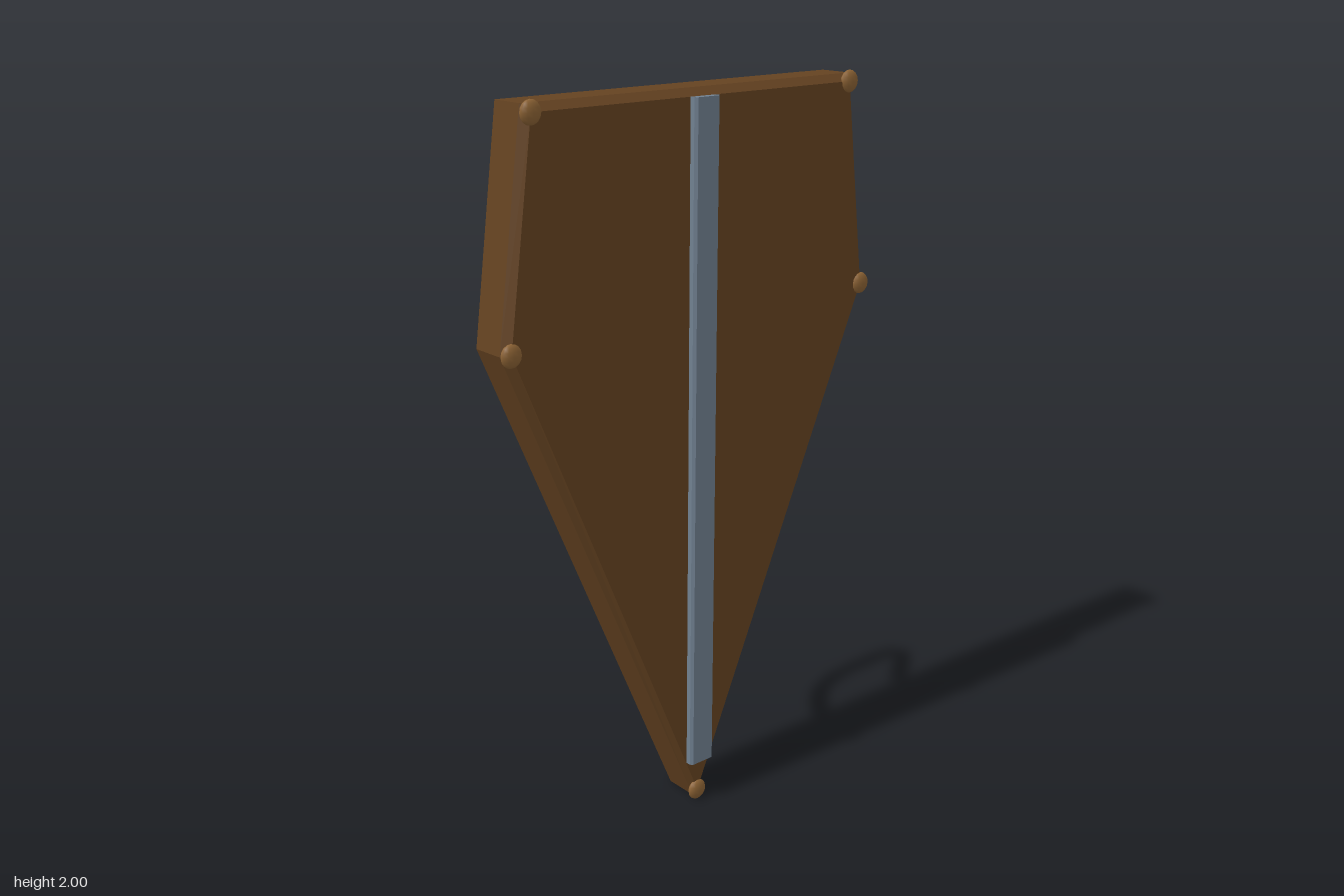
import * as THREE from 'three';

const mat = (name, color) => Object.assign(new THREE.MeshStandardMaterial({ color }), { name });

export function createModel() {
  const wood = mat('wood', 0x654321);
  const steel = mat('steel', 0x708090);
  const leather = mat('leather', 0x3e2723);
  leather.side = THREE.DoubleSide;
  const brass = mat('brass', 0x8b6234);

  const model = new THREE.Group();
  model.name = 'shield';
  const add = (name, geometry, material) => {
    const mesh = new THREE.Mesh(geometry, material);
    mesh.name = name;
    model.add(mesh);
    return mesh;
  };

  // Bevelled plank with a pointed foot
  const corners = [[0, 0.03], [0.59, 1.415], [0.517, 1.97], [-0.517, 1.97], [-0.59, 1.415]];
  const outline = new THREE.Shape(corners.map(([x, y]) => new THREE.Vector2(x, y)));
  const bevel = 0.02;
  const board = new THREE.ExtrudeGeometry(outline, {
    depth: 0.097, bevelEnabled: true, bevelSize: bevel, bevelThickness: bevel, bevelSegments: 1,
  });
  add('board', board.translate(0, 0, 0.04), wood);

  // Central metal rib with slightly chamfered front edges
  const ribSection = new THREE.Shape([
    [-0.041, 0.15], [0.041, 0.15], [0.041, 0.171], [0.034, 0.178], [-0.034, 0.178], [-0.041, 0.171],
  ].map(([x, z]) => new THREE.Vector2(x, -z)).reverse());
  const rib = new THREE.ExtrudeGeometry(ribSection, { depth: 1.84, bevelEnabled: false });
  add('centreRib', rib.rotateX(-Math.PI / 2).translate(0, 0.13, 0), steel);

  // Flattened rivet on every corner
  const rivet = new THREE.SphereGeometry(0.03, 12, 8).scale(1, 1, 0.45);
  corners.forEach(([x, y]) => add('rivet', rivet, brass).position.set(x, y, 0.155));

  // Sloping grip: half profile as [x, distance along the slope], mirrored
  const half = [[0.18, 0], [0.2, 0.55], [0.185, 0.82], [0.13, 0.95]];
  const profile = [...half.map(([x, t]) => [-x, t]), [0, 1], ...half.slice().reverse()];
  const path = new THREE.CatmullRomCurve3(
    profile.map(([x, t]) => new THREE.Vector3(x, 0.965 + 0.217 * t, 0.003 - 0.163 * t)));
  add('handle', new THREE.TubeGeometry(path, 12, 0.025, 8), leather);

  return model;
}
